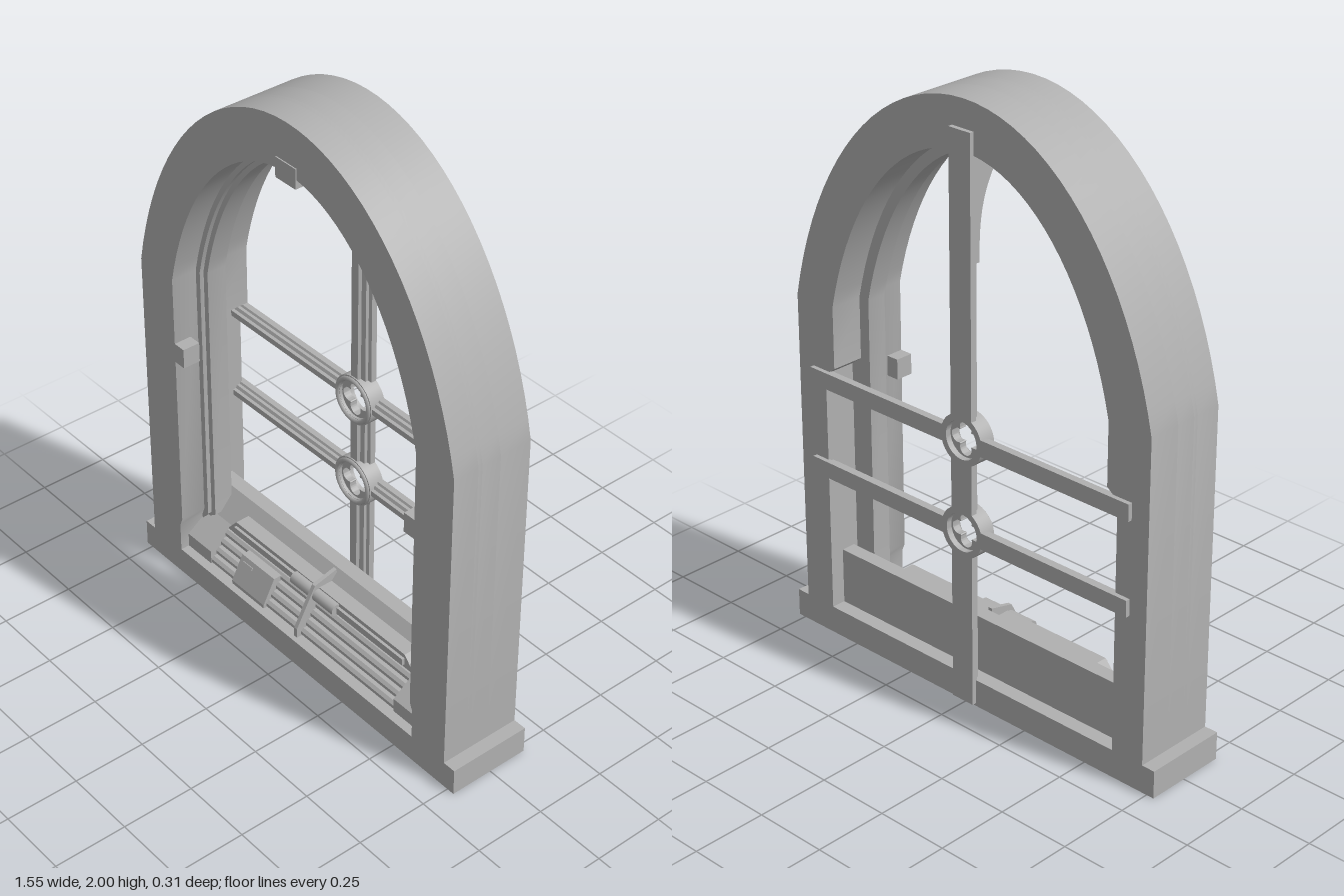
import * as THREE from 'three';
import { toCreasedNormals } from 'three/addons/utils/BufferGeometryUtils.js';

export function createModel() {
  const root = new THREE.Group();
  root.name = 'archedWindow';
  const stone = new THREE.MeshStandardMaterial({ color: 0xb0b0b0 });
  stone.name = 'stone grey';

  const add = (name, geometry) => {
    const mesh = new THREE.Mesh(geometry, stone);
    mesh.name = name;
    root.add(mesh);
    return mesh;
  };
  const box = (name, x0, x1, y0, y1, z0, z1) =>
    add(name, new THREE.BoxGeometry(x1 - x0, y1 - y0, z1 - z0)
      .translate((x0 + x1) / 2, (y0 + y1) / 2, (z0 + z1) / 2));
  const plate = (shape, z0, z1, curveSegments = 12) =>
    toCreasedNormals(new THREE.ExtrudeGeometry(shape, { depth: z1 - z0, bevelEnabled: false, curveSegments })
      .translate(0, 0, z0), 0.5);
  // Extrudes a [z, y] profile along x
  const prism = (profile, x0, x1) => {
    const shape = new THREE.Shape(profile.map(([z, y]) => new THREE.Vector2(z, y)));
    return new THREE.ExtrudeGeometry(shape, { depth: x1 - x0, bevelEnabled: false })
      .rotateY(-Math.PI / 2).translate(x1, 0, 0);
  };

  // Arch points from +x to -x: part of an ellipse above the springing line
  const SPRING = 1.18, CENTRE = 0.85;
  const arch = (half, apex) => {
    const ry = apex - CENTRE;
    const a = Math.asin((SPRING - CENTRE) / ry);
    const rx = half / Math.cos(a);
    const points = [];
    for (let i = 0; i <= 40; i++) {
      const t = a + (Math.PI - 2 * a) * i / 40;
      points.push(new THREE.Vector2(rx * Math.cos(t), CENTRE + ry * Math.sin(t)));
    }
    return points;
  };
  // One depth layer of the surround; the opening widens below yStep
  const surround = (name, z0, z1, half, apex, lowHalf, yStep) => {
    const v = (x, y) => new THREE.Vector2(x, y);
    const points = [
      v(0.73, 0.09), ...arch(0.73, 2), v(-0.73, 0.09),
      v(-lowHalf, 0.09), v(-lowHalf, yStep - 0.03), v(-half, yStep),
      ...arch(half, apex).reverse(),
      v(half, yStep), v(lowHalf, yStep - 0.03), v(lowHalf, 0.09),
    ];
    add(name, plate(new THREE.Shape(points), z0, z1));
  };
  surround('backSurround', -0.14, -0.025, 0.57, 1.84, 0.61, 0.97);
  surround('innerFlange', -0.025, 0.045, 0.53, 1.805, 0.57, 0.22);
  surround('flangeStep', 0.045, 0.06, 0.55, 1.82, 0.575, 0.22);
  surround('frontSurround', 0.06, 0.152, 0.57, 1.835, 0.582, 0.23);

  // Base and small blocks in the opening
  box('base', -0.777, 0.777, 0, 0.095, -0.14, 0.152);
  box('keystone', -0.045, 0.045, 1.803, 1.87, 0.09, 0.156);
  for (const s of [-1, 1]) {
    const inner = s * 0.525, outer = s * 0.6;
    box('jambStub', Math.min(inner, outer), Math.max(inner, outer), 0.87, 0.94, 0.09, 0.152);
  }

  // Sill: sloped core and raised end blocks
  add('sill', prism([[-0.09, 0.08], [0.06, 0.08], [0.03, 0.21], [-0.04, 0.29], [-0.09, 0.29]], -0.61, 0.61));
  const endBlock = [[-0.05, 0.08], [0.12, 0.08], [0.12, 0.145], [0.03, 0.21], [-0.05, 0.21]];
  add('sillEndLeft', prism(endBlock, 0.46, 0.585));
  add('sillEndRight', prism(endBlock, -0.585, -0.46));

  // Stepped slats with a chamfered top, a roller and a centre fin
  for (let i = 0; i < 4; i++) {
    const y = 0.095 + 0.027 * i, z = 0.118 - 0.02 * i;
    add('slat', prism([[0, y], [z - 0.006, y], [z, y + 0.006], [z, y + 0.018], [z - 0.01, y + 0.027], [0, y + 0.027]], -0.46, 0.46));
  }
  const cap = new THREE.Shape();
  cap.moveTo(-0.46, 0.195).lineTo(0.46, 0.195).lineTo(0.46, 0.21).lineTo(0.42, 0.255)
    .lineTo(-0.42, 0.255).lineTo(-0.46, 0.21);
  add('slatCap', plate(cap, -0.02, 0.042));
  box('slatCapRail', -0.42, 0.42, 0.215, 0.24, 0.03, 0.052);
  add('roller', new THREE.CylinderGeometry(0.022, 0.022, 0.21, 16).rotateZ(Math.PI / 2).translate(0, 0.23, 0.05));
  add('centreFin', prism([[-0.04, 0.08], [0.135, 0.08], [0.135, 0.13], [0.06, 0.27], [-0.03, 0.292]], -0.007, 0.007));

  // Small tilted cover with a slot
  add('cover', prism([[0.04, 0.097], [0.13, 0.097], [0.13, 0.11], [0.085, 0.197], [0.04, 0.197]], -0.335, -0.17));
  add('coverSlot', new THREE.BoxGeometry(0.05, 0.01, 0.006).rotateX(-0.48).translate(-0.295, 0.178, 0.096));

  // Moulded glazing bars, flat at the back and stepped at the front
  const barProfile = (w) => {
    const half = [[-0.155, 1], [-0.135, 1], [-0.131, 0.76], [-0.12, 0.76], [-0.115, 0.42], [-0.104, 0.36]];
    return [...half.map(([z, k]) => [z, -k * w]), ...half.reverse().map(([z, k]) => [z, k * w])];
  };
  const R = 0.085, SEAT = 0.07;
  const rosettes = [0.61, 0.925];
  for (const y of rosettes) {
    for (const [x0, x1] of [[-0.665, -SEAT], [SEAT, 0.665]]) {
      add('crossBar', prism(barProfile(0.028), x0, x1).translate(0, y, 0));
    }
  }
  const spans = [[0.01, rosettes[0] - SEAT], [rosettes[0] + SEAT, rosettes[1] - SEAT], [rosettes[1] + SEAT, 1.91]];
  for (const [y0, y1] of spans) {
    add('uprightBar', prism(barProfile(0.043), y0, y1).rotateZ(Math.PI / 2));
  }

  // Quatrefoil rosettes at the crossings
  for (const y of rosettes) {
    const ring = new THREE.Shape().absarc(0, 0, R, 0, Math.PI * 2);
    ring.holes.push(new THREE.Path().absarc(0, 0, 0.064, 0, Math.PI * 2, true));
    add('rosetteRing', plate(ring, -0.155, -0.1, 24).translate(0, y, 0));
    const bead = new THREE.TorusGeometry(0.073, 0.008, 6, 32);
    add('rosetteBead', bead.translate(0, y, -0.1));
    const disc = new THREE.Shape().absarc(0, 0, 0.068, 0, Math.PI * 2);
    const foil = new THREE.Path();
    for (let i = 0; i < 4; i++) {
      const a = i * Math.PI / 2;
      foil.absarc(0.034 * Math.cos(a), 0.034 * Math.sin(a), 0.024, a - 1.95, a + 1.95);
    }
    foil.closePath();
    disc.holes.push(foil);
    add('quatrefoil', plate(disc, -0.135, -0.11, 16).translate(0, y, 0));
  }

  // Curved bracket joining the upright bar to the crown of the arch
  const bracket = [[-0.13, 1.85], [-0.13, 1.5]];
  for (let i = 0; i <= 10; i++) {
    const t = i / 10;
    bracket.push([-0.11 + 0.1 * t * t * t, 1.5 + 0.33 * t]);
  }
  bracket.push([-0.01, 1.85]);
  add('crownBracket', toCreasedNormals(prism(bracket, -0.036, 0.036), 0.5));

  return root;
}
